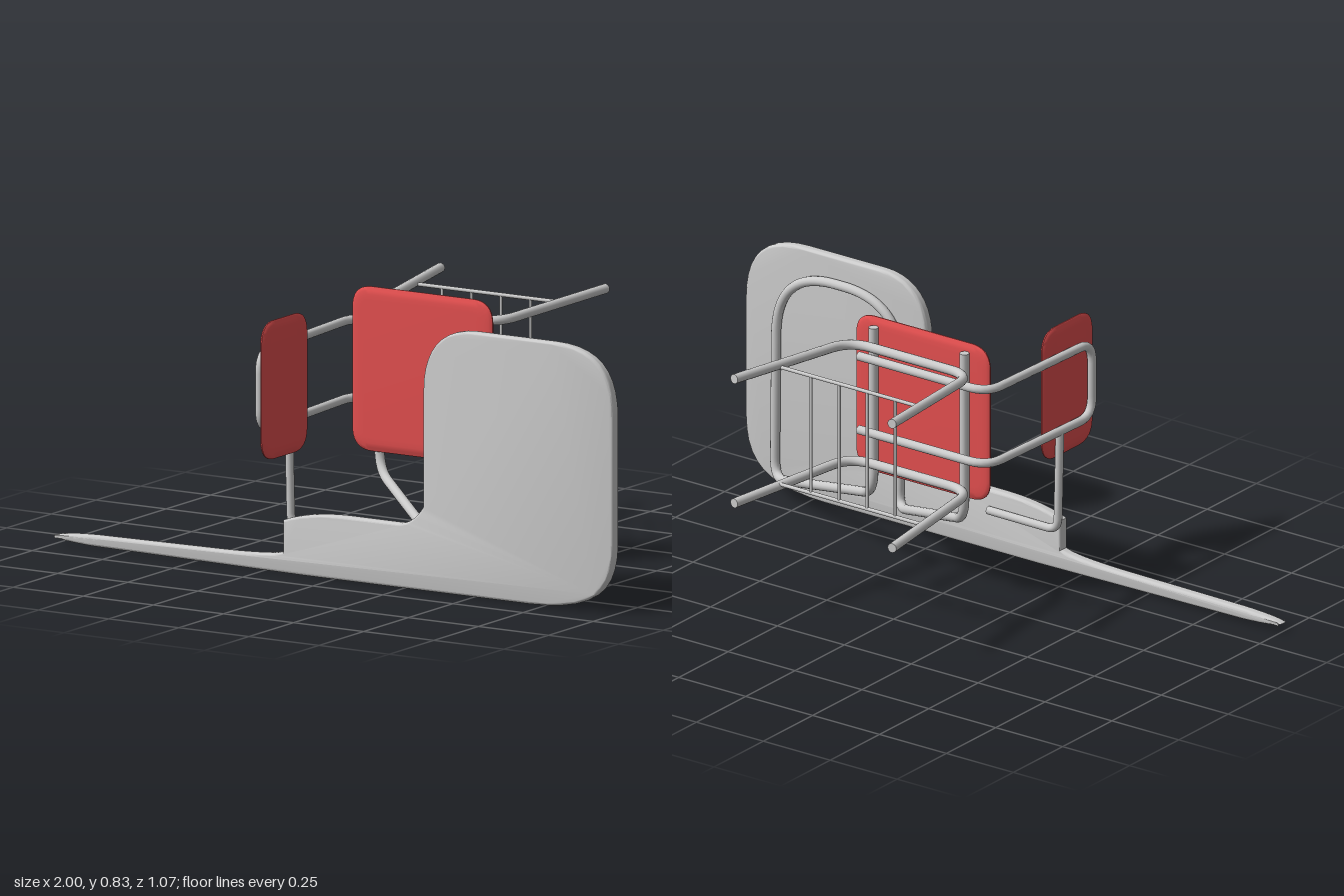
import * as THREE from 'three';
import { mergeVertices, toCreasedNormals } from 'three/addons/utils/BufferGeometryUtils.js';

const metal = new THREE.MeshStandardMaterial({ color: 0xcccccc });
const red = new THREE.MeshStandardMaterial({ color: 0xe65050 });
const V = (p) => new THREE.Vector3(...p);

// Straight runs joined by rounded corners; each point is [x, y, z, cornerRadius]
function bentPath(points) {
  const path = new THREE.CurvePath();
  let from = V(points[0].slice(0, 3));
  for (let i = 1; i < points.length - 1; i++) {
    const p = V(points[i].slice(0, 3));
    const r = points[i][3] ?? 0.05;
    const a = V(points[i - 1].slice(0, 3)).sub(p).setLength(r).add(p);
    const b = V(points[i + 1].slice(0, 3)).sub(p).setLength(r).add(p);
    path.add(new THREE.LineCurve3(from, a));
    path.add(new THREE.QuadraticBezierCurve3(a, p, b));
    from = b;
  }
  path.add(new THREE.LineCurve3(from, V(points.at(-1).slice(0, 3))));
  return path;
}

// Round tube with closed ends
function tube(name, points, radius = 0.015, segments = 120) {
  const group = new THREE.Group();
  group.name = name;
  const path = bentPath(points);
  group.add(new THREE.Mesh(new THREE.TubeGeometry(path, segments, radius, 14), metal));
  for (const [t, sign] of [[0, -1], [1, 1]]) {
    const cap = new THREE.Mesh(new THREE.CircleGeometry(radius, 14), metal);
    cap.position.copy(path.getPoint(t));
    cap.quaternion.setFromUnitVectors(new THREE.Vector3(0, 0, 1), path.getTangent(t).multiplyScalar(sign));
    group.add(cap);
  }
  group.children.forEach((m) => { m.name = name; });
  return group;
}

// Extruded slab centred on z = 0 with a softened rim
function slab(name, shape, thickness, bevel, material) {
  let geo = new THREE.ExtrudeGeometry(shape, {
    depth: thickness - 2 * bevel.t, bevelThickness: bevel.t, bevelSize: bevel.s,
    bevelOffset: -bevel.s, bevelSegments: 4, curveSegments: 10,
  });
  geo.translate(0, 0, bevel.t - thickness / 2);
  geo.deleteAttribute('uv');
  geo.deleteAttribute('normal');
  geo = toCreasedNormals(mergeVertices(geo, 1e-5), 0.7);
  const mesh = new THREE.Mesh(geo, material);
  mesh.name = name;
  return mesh;
}

function roundedRect(w, h, r) {
  const s = new THREE.Shape();
  const x = w / 2, y = h / 2;
  s.moveTo(-x + r, -y);
  s.lineTo(x - r, -y); s.quadraticCurveTo(x, -y, x, -y + r);
  s.lineTo(x, y - r); s.quadraticCurveTo(x, y, x - r, y);
  s.lineTo(-x + r, y); s.quadraticCurveTo(-x, y, -x, y - r);
  s.lineTo(-x, -y + r); s.quadraticCurveTo(-x, -y, -x + r, -y);
  return s;
}

export function createModel() {
  const model = new THREE.Group();
  model.name = 'deskChair';

  // Writing board with a stepped armrest and a long tapering tail
  const b = new THREE.Shape();
  b.moveTo(-1, 0.028);
  b.quadraticCurveTo(-0.98, 0.014, -0.85, 0.01);
  b.lineTo(-0.1, 0.002);
  b.lineTo(0.7, 0.002);
  b.bezierCurveTo(0.92, 0.005, 1, 0.06, 1, 0.22);
  b.lineTo(1, 0.6);
  b.bezierCurveTo(1, 0.75, 0.93, 0.815, 0.78, 0.815);
  b.lineTo(0.5, 0.815);
  b.bezierCurveTo(0.38, 0.815, 0.32, 0.74, 0.32, 0.62);
  b.lineTo(0.32, 0.26);
  b.quadraticCurveTo(0.28, 0.2, 0.23, 0.2);
  b.lineTo(0.04, 0.2);
  b.quadraticCurveTo(-0.1, 0.197, -0.18, 0.165);
  b.lineTo(-0.18, 0.068);
  b.quadraticCurveTo(-0.22, 0.052, -0.4, 0.049);
  b.lineTo(-0.85, 0.044);
  b.quadraticCurveTo(-0.98, 0.04, -1, 0.028);
  const board = slab('writingBoard', b, 0.036, { t: 0.012, s: 0.008 }, metal);
  board.position.z = 0.37;
  model.add(board);

  // Seat and backrest pads
  const seat = slab('seat', roundedRect(0.5, 0.505, 0.07), 0.018, { t: 0.007, s: 0.04 }, red);
  seat.position.set(0.09, 0.578, 0.024);
  model.add(seat);
  const backrest = slab('backrest', roundedRect(0.255, 0.425, 0.07), 0.018, { t: 0.007, s: 0.04 }, red);
  backrest.rotation.y = Math.PI / 2;
  backrest.position.set(-0.162, 0.582, 0.407);
  model.add(backrest);

  // Two U-shaped leg frames
  for (const [y, yEnd] of [[0.755, 0.782], [0.377, 0.377]]) {
    model.add(tube('legFrame', [
      [-0.2, yEnd, -0.53], [-0.13, y, -0.035, 0.08],
      [0.32, y, -0.035, 0.08], [0.39, yEnd, -0.53],
    ]));
  }

  // Loop running under the seat and around behind the backrest
  model.add(tube('backrestFrame', [
    [0.29, 0.715, -0.033], [-0.19, 0.715, -0.033, 0.07], [-0.188, 0.7, 0.5, 0.06],
    [-0.188, 0.46, 0.5, 0.06], [-0.19, 0.475, -0.033, 0.07], [0.29, 0.475, -0.033],
  ], 0.014));

  // Seat uprights continuing into the arch that carries the board
  model.add(tube('boardFrame', [
    [-0.08, 0.805, 0], [-0.08, 0.265, 0, 0.07], [0.41, 0.065, 0.335, 0.06],
    [0.4, 0.735, 0.337, 0.22], [0.87, 0.735, 0.337, 0.22],
    [0.875, 0.045, 0.335, 0.07], [0.26, 0.265, 0, 0.07], [0.26, 0.805, 0],
  ], 0.015, 240));

  // Post from the backrest frame to the armrest
  model.add(tube('armrestPost', [
    [-0.19, 0.466, 0.335], [-0.182, 0.14, 0.335, 0.04], [0.08, 0.14, 0.338],
  ], 0.013));

  // Wire rack between the leg frames
  const rackZ = -0.343;
  for (const y of [0.385, 0.767]) {
    model.add(tube('rackRail', [[-0.172, y, rackZ], [0.362, y, rackZ]], 0.006, 2));
  }
  for (let i = 0; i < 4; i++) {
    const x = -0.075 + i * 0.105;
    model.add(tube('rackRod', [[x, 0.385, rackZ], [x, 0.767, rackZ]], 0.005, 2));
  }
  return model;
}
